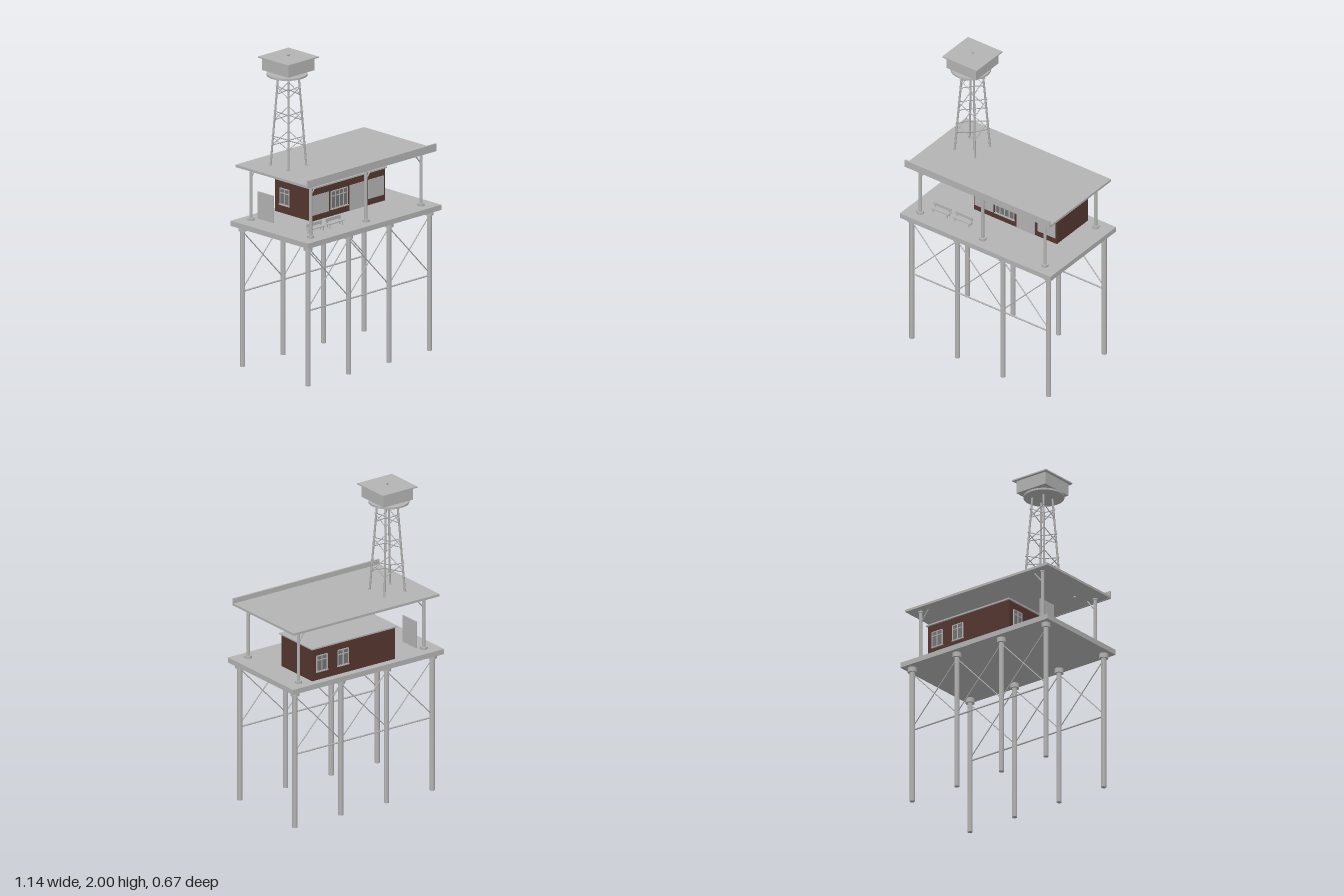
import * as THREE from 'three';

export function createModel() {
  const model = new THREE.Group();
  model.name = 'raisedStation';
  const mat = (name, color) => {
    const m = new THREE.MeshStandardMaterial({ color });
    m.name = name;
    return m;
  };
  const grey = mat('grey', 0xb3b3b3);
  const brown = mat('brown', 0x55362f);
  const glass = mat('glass', 0x737274);

  const group = (name, parent = model) => {
    const g = new THREE.Group();
    g.name = name;
    parent.add(g);
    return g;
  };
  const add = (parent, name, geo, material, x, y, z) => {
    const m = new THREE.Mesh(geo, material);
    m.name = name;
    m.position.set(x, y, z);
    parent.add(m);
    return m;
  };
  // box given by its limits
  const box = (parent, name, material, x0, x1, y0, y1, z0, z1) =>
    add(parent, name, new THREE.BoxGeometry(x1 - x0, y1 - y0, z1 - z0), material,
      (x0 + x1) / 2, (y0 + y1) / 2, (z0 + z1) / 2);
  // upright cylinder from y0 to y1
  const post = (parent, name, x, z, y0, y1, r, sides = 12) =>
    add(parent, name, new THREE.CylinderGeometry(r, r, y1 - y0, sides), grey, x, (y0 + y1) / 2, z);
  // round bar between two points
  const bar = (parent, name, a, b, r) => {
    const p = new THREE.Vector3(...a), q = new THREE.Vector3(...b);
    const d = q.clone().sub(p);
    const mid = p.add(q).multiplyScalar(0.5);
    const m = add(parent, name, new THREE.CylinderGeometry(r, r, d.length(), 6), grey, mid.x, mid.y, mid.z);
    m.quaternion.setFromUnitVectors(new THREE.Vector3(0, 1, 0), d.normalize());
  };

  // platform on eight piles with cross bracing
  const base = group('substructure');
  box(base, 'platform', grey, -0.572, 0.572, 0.895, 0.928, -0.335, 0.335);
  const pileX = [-0.52, -0.173, 0.173, 0.52];
  for (const z of [-0.283, 0.283]) {
    pileX.forEach((x, i) => {
      post(base, 'pile', x, z, 0, 0.87, 0.016);
      post(base, 'pileCap', x, z, 0.865, 0.896, 0.028);
      if (i < 3) {
        const x1 = pileX[i + 1];
        bar(base, 'diagonalBrace', [x, 0.86, z], [x1, 0.495, z], 0.0035);
        bar(base, 'diagonalBrace', [x, 0.495, z], [x1, 0.86, z], 0.0035);
      }
    });
    bar(base, 'horizontalBrace', [-0.52, 0.478, z], [0.52, 0.478, z], 0.005);
  }

  // canopy: slab, front fascia, columns with struts, lamps
  const canopy = group('canopy');
  box(canopy, 'canopySlab', grey, -0.553, 0.551, 1.271, 1.286, -0.313, 0.305);
  box(canopy, 'fascia', grey, -0.553, 0.551, 1.27, 1.318, 0.303, 0.314);
  for (const [x, z, s] of [[-0.474, 0.258, 1], [0, 0.258, 1], [0.474, 0.258, -1],
    [-0.474, -0.258, 1], [0.474, -0.258, -1]]) {
    post(canopy, 'column', x, z, 0.928, 1.271, 0.0105);
    post(canopy, 'columnFoot', x, z, 0.928, 0.944, 0.022);
    post(canopy, 'columnHead', x, z, 1.262, 1.272, 0.016);
    bar(canopy, 'strut', [x, 1.195, z], [x + s * 0.062, 1.272, z], 0.004);
  }
  for (const x of [-0.4, -0.2, 0.2, 0.4])
    add(canopy, 'lamp', new THREE.SphereGeometry(0.008, 10, 8), grey, x, 1.264, 0.15);

  // building
  const house = group('building');
  box(house, 'walls', brown, -0.236, 0.392, 0.928, 1.136, -0.288, 0.028);
  box(house, 'buildingRoof', grey, -0.246, 0.402, 1.135, 1.144, -0.298, 0.038);
  box(house, 'leftFrontPanel', grey, -0.23, -0.09, 0.965, 1.09, 0.027, 0.032);
  box(house, 'rightFrontPanel', grey, 0.248, 0.382, 0.968, 1.09, 0.027, 0.032);
  box(house, 'door', grey, 0.09, 0.226, 0.928, 1.09, 0.027, 0.032);

  // a framed window of given size, facing +z before turning
  const makeWindow = (name, w, h, bays, x, y, z, turn) => {
    const g = group(name, house);
    box(g, 'pane', glass, -w / 2, w / 2, -h / 2, h / 2, -0.001, 0.002);
    for (let i = 0; i <= bays; i++) {
      const px = -w / 2 + (w * i) / bays;
      box(g, 'mullion', grey, px - 0.003, px + 0.003, -h / 2, h / 2, 0, 0.005);
    }
    for (const py of [-h / 2, h * 0.22, h / 2])
      box(g, 'transom', grey, -w / 2, w / 2, py - 0.003, py + 0.003, 0, 0.005);
    box(g, 'sill', grey, -w / 2 - 0.006, w / 2 + 0.006, -h / 2 - 0.006, -h / 2, 0, 0.009);
    g.position.set(x, y, z);
    g.rotation.y = turn;
  };
  makeWindow('frontWindow', 0.14, 0.11, 4, -0.002, 1.03, 0.028, 0);
  for (const x of [0.32, 0.16]) makeWindow('backWindow', 0.078, 0.1, 2, x, 1.035, -0.288, Math.PI);
  makeWindow('sideWindow', 0.078, 0.1, 2, -0.236, 1.035, -0.205, -Math.PI / 2);

  // upright board beside the building
  box(model, 'board', grey, -0.439, -0.431, 0.935, 1.108, -0.235, -0.1);

  // two benches facing forward
  for (const x of [-0.365, -0.2]) {
    const b = group('bench');
    box(b, 'seat', grey, x - 0.065, x + 0.065, 0.951, 0.957, 0.176, 0.208);
    box(b, 'backrest', grey, x - 0.065, x + 0.065, 0.966, 0.986, 0.176, 0.181);
    for (const s of [-1, 1]) {
      const lx = x + s * 0.054;
      box(b, 'backLeg', grey, lx - 0.003, lx + 0.003, 0.928, 0.98, 0.177, 0.182);
      box(b, 'frontLeg', grey, lx - 0.003, lx + 0.003, 0.928, 0.952, 0.201, 0.206);
    }
  }

  // water tower: tapering legs, braces, round deck, square tank
  const tower = group('tower');
  tower.position.set(-0.33, 0, -0.079);
  const y0 = 1.285, y1 = 1.895;
  const spread = y => 0.077 + (0.042 - 0.077) * (y - y0) / (y1 - y0);
  for (const sx of [-1, 1]) for (const sz of [-1, 1]) {
    bar(tower, 'towerLeg', [sx * 0.077, y0 - 0.003, sz * 0.077], [sx * 0.042, y1, sz * 0.042], 0.0065);
    post(tower, 'towerFoot', sx * 0.077, sz * 0.077, 1.285, 1.291, 0.01, 8);
  }
  for (const y of [1.443, 1.603, 1.763]) {
    const h = spread(y) + 0.005;
    for (const s of [-1, 1]) for (const d of [-1, 1]) {
      bar(tower, 'towerBrace', [-h, y - d * 0.03, s * h], [h, y + d * 0.03, s * h], 0.003);
      bar(tower, 'towerBrace', [s * h, y - d * 0.03, -h], [s * h, y + d * 0.03, h], 0.003);
    }
  }
  post(tower, 'deck', -0.012, 0, 1.864, 1.876, 0.125, 32);
  box(tower, 'tank', grey, -0.113, 0.113, 1.892, 1.973, -0.113, 0.113);
  box(tower, 'tankRoof', grey, -0.131, 0.131, 1.971, 1.979, -0.131, 0.131);
  add(tower, 'finial', new THREE.SphereGeometry(0.009, 12, 8), grey, 0, 1.991, 0);
  post(tower, 'finialStem', 0, 0, 1.975, 1.988, 0.003, 6);

  return model;
}
